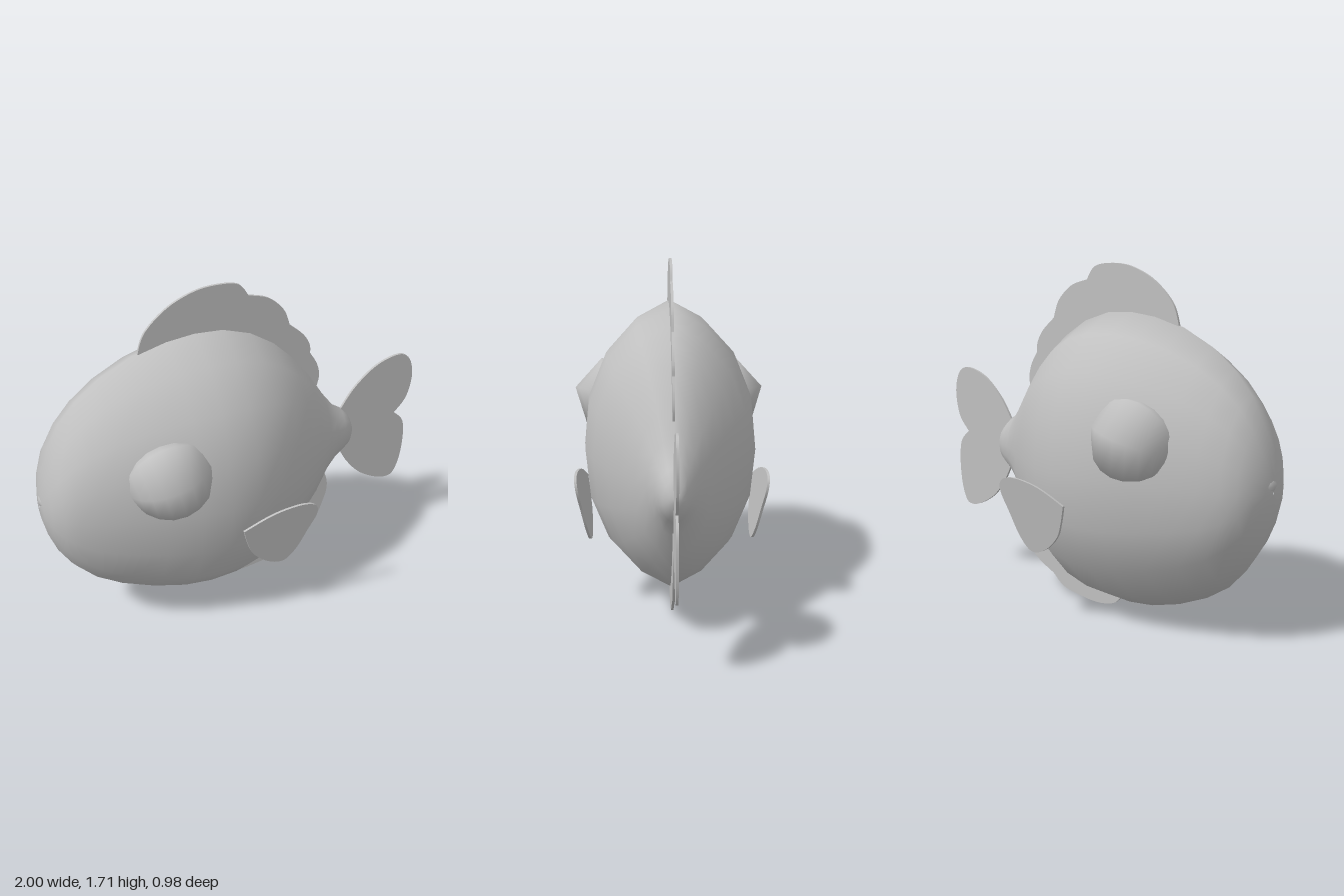
import * as THREE from 'three';

const grey = new THREE.MeshStandardMaterial({ color: 0xc0c0c0 });
grey.name = 'plain grey';

// Body stations: x, top y, bottom y, half width
const stations = [
  [-0.995, 0.76, 0.74, 0.004], [-0.99, 0.83, 0.66, 0.06], [-0.97, 0.94, 0.57, 0.13],
  [-0.93, 1.06, 0.46, 0.19], [-0.87, 1.17, 0.36, 0.235], [-0.78, 1.27, 0.26, 0.28],
  [-0.66, 1.36, 0.18, 0.325], [-0.5, 1.435, 0.11, 0.375], [-0.34, 1.475, 0.065, 0.415],
  [-0.2, 1.487, 0.05, 0.43], [-0.06, 1.475, 0.058, 0.422], [0.08, 1.425, 0.095, 0.38],
  [0.2, 1.345, 0.165, 0.315], [0.3, 1.245, 0.255, 0.25], [0.4, 1.115, 0.365, 0.18],
  [0.48, 0.985, 0.505, 0.125], [0.54, 0.905, 0.575, 0.092], [0.59, 0.872, 0.61, 0.075],
  [0.63, 0.83, 0.645, 0.055], [0.65, 0.78, 0.69, 0.03], [0.656, 0.745, 0.73, 0.004],
];

// A quarter of the cross-section, from the ridge to the flank: [width, height]
const quarter = [[0, 1], [0.39, 0.875], [0.74, 0.645], [0.945, 0.34], [1, 0]];

function ringPoints() {
  const ring = [];
  for (let k = 0; k < 16; k++) {
    const q = k % 8 <= 4 ? k % 8 : 8 - (k % 8);
    const [w, h] = quarter[q];
    ring.push([k < 8 ? w : -w, k <= 4 || k >= 12 ? h : -h]);
  }
  // the second half runs from the keel back up to the ridge
  for (let k = 8; k < 16; k++) {
    ring[k] = [-ring[16 - k === 8 ? 8 : 16 - k][0], ring[16 - k][1]];
  }
  return ring;
}

function bodyGeometry() {
  const ring = ringPoints(), n = ring.length;
  const pos = [], index = [];
  stations.forEach(([x, top, bottom, half], i) => {
    const mid = (top + bottom) / 2, tall = (top - bottom) / 2;
    for (const [w, h] of ring) pos.push(x, mid + h * tall, w * half);
    if (i === stations.length - 1) return;
    for (let k = 0; k < n; k++) {
      const a = i * n + k, b = i * n + (k + 1) % n;
      index.push(a, b, a + n, b, b + n, a + n);
    }
  });
  const g = new THREE.BufferGeometry();
  g.setAttribute('position', new THREE.Float32BufferAttribute(pos, 3));
  g.setIndex(index);
  g.computeVertexNormals();
  return g;
}

// Thin fin: each lobe is a smooth curve, lobes meet at notches, inner points close it
function finGeometry(lobes, inner = [], depth = 0.012) {
  const shape = new THREE.Shape();
  shape.moveTo(...lobes[0][0]);
  lobes.forEach((lobe) => shape.splineThru(lobe.slice(1).map((p) => new THREE.Vector2(...p))));
  inner.forEach((p) => shape.lineTo(...p));
  shape.closePath();
  const g = new THREE.ExtrudeGeometry(shape, { depth, bevelEnabled: false, curveSegments: 16 });
  return g.translate(0, 0, -depth / 2);
}

export function createModel() {
  const model = new THREE.Group();
  model.name = 'fish';
  const add = (name, geometry) => {
    const mesh = new THREE.Mesh(geometry, grey);
    mesh.name = name;
    model.add(mesh);
    return mesh;
  };

  add('body', bodyGeometry());

  // Small pointed lip at the nose
  const lip = add('lip', new THREE.SphereGeometry(1, 10, 8));
  lip.scale.set(0.04, 0.045, 0.06);
  lip.position.set(-0.96, 0.775, 0);

  add('dorsalFin', finGeometry([
    [[-0.48, 1.43], [-0.44, 1.54], [-0.33, 1.64], [-0.2, 1.695], [-0.08, 1.705], [0.02, 1.685], [0.07, 1.62]],
    [[0.07, 1.62], [0.17, 1.585], [0.25, 1.51], [0.285, 1.42]],
    [[0.285, 1.42], [0.36, 1.35], [0.395, 1.29], [0.4, 1.24]],
    [[0.4, 1.24], [0.44, 1.17], [0.455, 1.1], [0.44, 1.03]],
  ], [[0.3, 1.15], [0, 1.35], [-0.3, 1.4]]));

  add('analFin', finGeometry([
    [[-0.15, 0.065], [-0.1, 0.02], [0, 0], [0.12, 0.01], [0.23, 0.035], [0.3, 0.09]],
    [[0.3, 0.09], [0.41, 0.15], [0.48, 0.23], [0.51, 0.3]],
    [[0.51, 0.3], [0.53, 0.37], [0.53, 0.44], [0.5, 0.53]],
  ], [[0.35, 0.45], [0.1, 0.2]]));

  add('tailFin', finGeometry([
    [[0.585, 0.86], [0.66, 0.97], [0.76, 1.06], [0.85, 1.1], [0.93, 1.105], [0.98, 1.06],
      [1, 0.96], [0.975, 0.84], [0.91, 0.76]],
    [[0.91, 0.76], [0.965, 0.7], [0.98, 0.6], [0.97, 0.47], [0.94, 0.38], [0.9, 0.355],
      [0.83, 0.37], [0.73, 0.43], [0.65, 0.52], [0.59, 0.63]],
  ]));

  for (const s of [1, -1]) {
    const side = s > 0 ? 'left' : 'right';

    // Six-sided bulging eye with its ridge facing outward
    const axis = new THREE.Vector3(0.4, 0.11, 0.04 * s).normalize();
    const ridge = new THREE.Vector3(0, 0.22, 0.97 * s);
    ridge.addScaledVector(axis, -axis.dot(ridge)).normalize();
    const third = new THREE.Vector3().crossVectors(ridge, axis);
    const eye = new THREE.SphereGeometry(0.206, 6, 10);
    eye.applyMatrix4(new THREE.Matrix4().makeBasis(ridge, axis, third));
    add(side + 'Eye', eye.translate(-0.45, 0.955, 0.288 * s));

    // Side fin leaning away from the flank toward its rear upper corner
    const fin = finGeometry([
      [[-0.14, 0.62], [0, 0.69], [0.13, 0.717], [0.21, 0.7], [0.228, 0.64], [0.19, 0.54],
        [0.14, 0.42], [0.08, 0.355], [0, 0.375], [-0.08, 0.45], [-0.115, 0.53], [-0.14, 0.62]],
    ]);
    const p = fin.attributes.position;
    for (let i = 0; i < p.count; i++) {
      const lean = 0.42 + 0.08 * p.getX(i) + 0.15 * (p.getY(i) - 0.54);
      p.setZ(i, p.getZ(i) + s * lean);
    }
    fin.computeVertexNormals();
    add(side + 'SideFin', fin);
  }
  return model;
}
